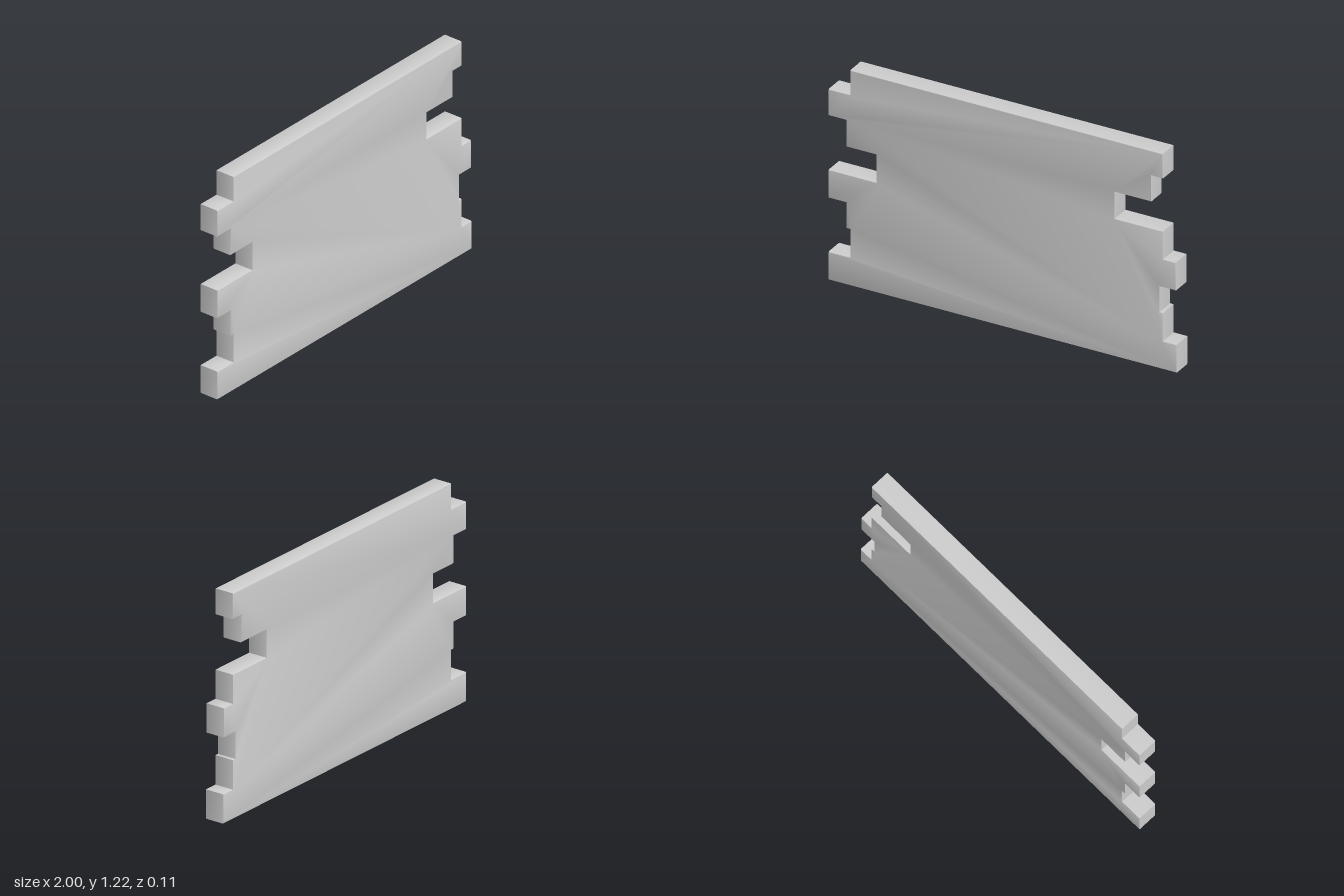
import * as THREE from 'three';
import { toCreasedNormals } from 'three/addons/utils/BufferGeometryUtils.js';

// Plank courses from bottom to top: [bottom y, left end x, right end x]
const TOP = 1.225;
const COURSES = [
  [0.003, -1.0, 1.0],
  [0.162, -0.875, 0.922],
  [0.322, -0.897, 0.902],
  [0.468, -1.0, 0.995],
  [0.627, -0.727, 0.922],
  [0.785, -0.897, 0.645],
  [0.936, -1.0, 0.853],
  [1.085, -0.875, 0.921],
];
const THICKNESS = 0.114;
const BEVEL = 0.006;

// Stepped outline: up the right-hand ends, then down the left-hand ends
function slabOutline() {
  const right = [];
  const left = [];
  COURSES.forEach(([y, x0, x1], i) => {
    const yTop = i + 1 < COURSES.length ? COURSES[i + 1][0] : TOP;
    right.push(new THREE.Vector2(x1, y), new THREE.Vector2(x1, yTop));
    left.push(new THREE.Vector2(x0, y), new THREE.Vector2(x0, yTop));
  });
  return new THREE.Shape([...right, ...left.reverse()]);
}

export function createModel() {
  const group = new THREE.Group();
  group.name = 'brokenWallPanel';

  // One slab with uneven broken ends and slightly softened edges
  const geometry = new THREE.ExtrudeGeometry(slabOutline(), {
    depth: THICKNESS - 2 * BEVEL,
    bevelEnabled: true,
    bevelThickness: BEVEL,
    bevelSize: BEVEL,
    bevelOffset: -BEVEL,
    bevelSegments: 2,
  });
  geometry.translate(0, 0, -THICKNESS / 2 + BEVEL);

  const slab = new THREE.Mesh(
    toCreasedNormals(geometry, 0.6),
    new THREE.MeshStandardMaterial({ color: 0xcccccc })
  );
  slab.name = 'slab';
  group.add(slab);
  return group;
}
